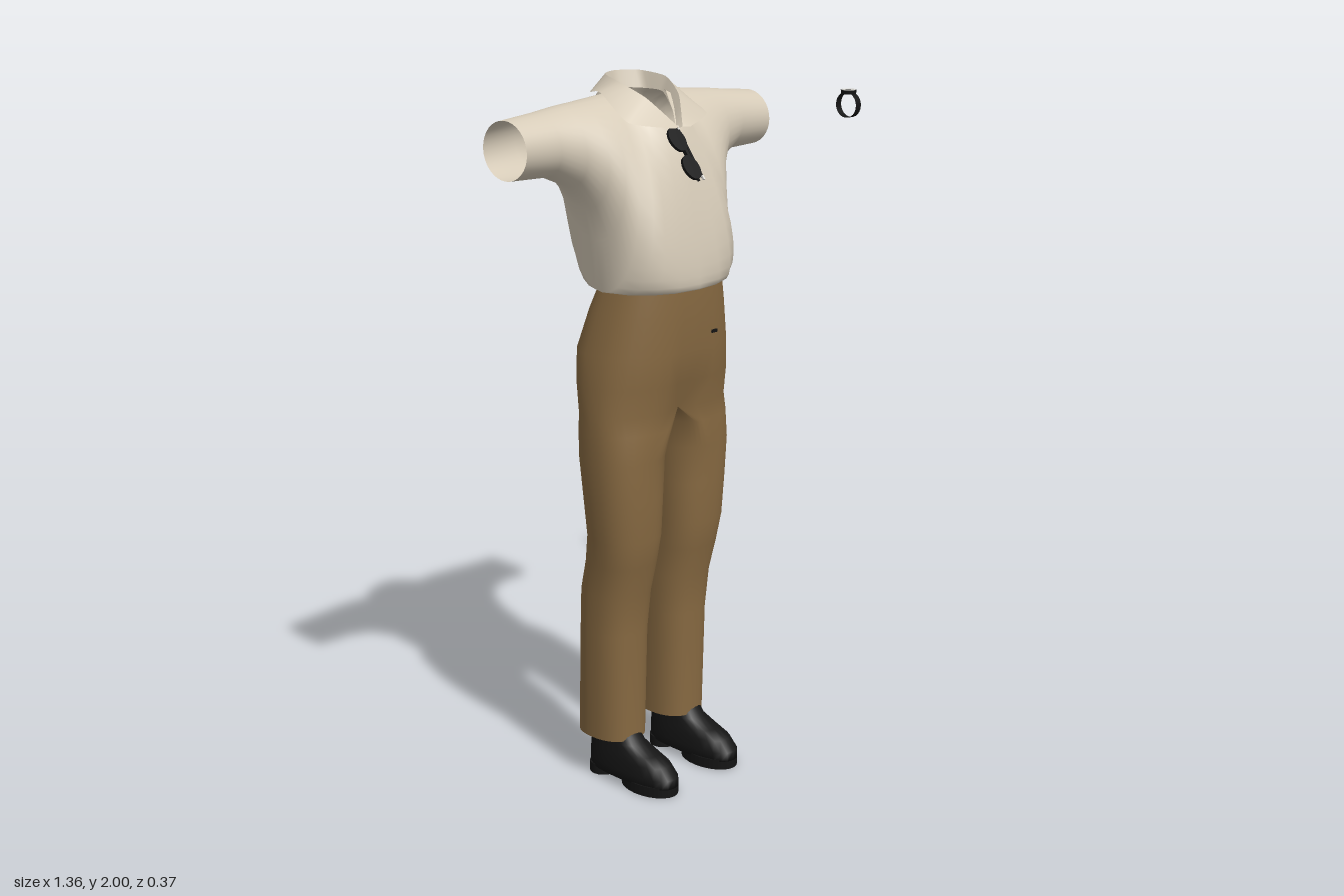
import * as THREE from 'three';
import { mergeGeometries, mergeVertices } from 'three/addons/utils/BufferGeometryUtils.js';

const mat = (name, color) => {
  const m = new THREE.MeshStandardMaterial({ color, side: THREE.DoubleSide });
  m.name = name;
  return m;
};
const cream = mat('creamCloth', 0xd6cbb8);
const brown = mat('brownCloth', 0x886a42);
const black = mat('blackLeather', 0x141414);
const silver = mat('paleMetal', 0xe4e2dc);

// Surface through rows of points; outside faces out when rows run down and columns front -> +x -> back
function grid(rows) {
  const n = rows[0].length, idx = [];
  for (let i = 0; i < rows.length - 1; i++)
    for (let j = 0; j < n - 1; j++) {
      const a = i * n + j, c = a + n;
      idx.push(a, c, a + 1, a + 1, c, c + 1);
    }
  const g = new THREE.BufferGeometry();
  g.setAttribute('position', new THREE.Float32BufferAttribute(rows.flat(2), 3));
  g.setIndex(idx);
  return g;
}

function mirrored(g) {
  const m = g.clone().scale(-1, 1, 1);
  m.setIndex([...g.index.array].reverse());
  return m;
}

// Sew surfaces together and smooth across the seams
function sew(list) {
  const g = mergeVertices(mergeGeometries(list), 1e-4);
  g.computeVertexNormals();
  return g;
}

function add(parent, name, geo, material, x = 0, y = 0, z = 0) {
  const m = new THREE.Mesh(geo, material);
  m.name = name;
  m.position.set(x, y, z);
  parent.add(m);
  return m;
}

const pw = (v, p) => Math.sign(v) * Math.pow(Math.abs(v), p);

// Shirt columns from the centre to the cuff: upper point, lower point, bulge
const frontCols = [
  [[0, 1.86, 0.085], [0, 1.44, 0.165], 0.022],
  [[0.035, 1.90, 0.04], [0.08, 1.44, 0.155], 0.045],
  [[0.07, 1.95, -0.02], [0.14, 1.44, 0.125], 0.08],
  [[0.085, 1.955, -0.075], [0.18, 1.44, 0.075], 0.125],
  [[0.13, 1.95, -0.075], [0.2, 1.44, 0], 0.145],
  [[0.17, 1.945, -0.075], [0.21, 1.58, -0.01], 0.125],
  [[0.22, 1.94, -0.075], [0.23, 1.665, -0.03], 0.11],
  [[0.28, 1.935, -0.075], [0.27, 1.725, -0.05], 0.092],
  [[0.36, 1.925, -0.075], [0.34, 1.757, -0.07], 0.086],
  [[0.465, 1.915, -0.075], [0.465, 1.76, -0.075], 0.083],
];
const backEdges = [[1.975, -0.14, -0.12], [1.975, -0.13, -0.112], [1.965, -0.11, -0.09], [1.955, -0.075, -0.05]];
const backBulge = [0.055, 0.062, 0.08, 0.115, 0.135, 0.13, 0.12, 0.105, 0.09, 0.083];
const backCols = frontCols.map(([u, l], i) => {
  const e = backEdges[i];
  return e ? [[u[0], e[0], e[1]], [l[0], l[1], e[2]], backBulge[i]] : [u, l, backBulge[i]];
});

function shirtPanel(cols, side) {
  const n = 16;
  const full = [...cols.slice().reverse().map(c => [1, c]), ...cols.slice(1).map(c => [-1, c])];
  return grid(full.map(([sx, [u, l, bulge]]) => {
    const col = [];
    for (let k = 0; k <= n; k++) {
      const t = Math.PI * k / n, v = (1 - Math.cos(t)) / 2;
      const p = u.map((a, q) => a + (l[q] - a) * v);
      col.push([p[0] * sx, p[1], p[2] + side * bulge * Math.sin(t)]);
    }
    return side > 0 ? col : col.reverse();
  }));
}

// Collar line: half a set of points from the front to the nape, mirrored
function collarLine(half) {
  const pts = [...half, ...half.slice(0, -1).reverse().map(([x, y, z]) => [-x, y, z])];
  const curve = new THREE.CatmullRomCurve3(pts.map(p => new THREE.Vector3(...p)), false, 'catmullrom', 0.3);
  return curve.getPoints(40).map(p => p.toArray());
}

function buildShirt(g) {
  add(g, 'shirtBody', sew([shirtPanel(frontCols, 1), shirtPanel(backCols, -1)]), cream);
  const top = collarLine([[0.008, 1.87, 0.1], [0.062, 1.945, 0.035], [0.09, 1.985, -0.04], [0.066, 1.998, -0.115], [0, 2, -0.145]]);
  const fall = collarLine([[0.03, 1.868, 0.108], [0.15, 1.89, 0.055], [0.128, 1.957, -0.07], [0.09, 1.948, -0.15], [0, 1.945, -0.178]]);
  const root = collarLine([[0, 1.86, 0.086], [0.04, 1.9, 0.036], [0.078, 1.945, -0.04], [0.068, 1.95, -0.1], [0, 1.955, -0.135]]);
  add(g, 'collarFall', sew([grid([top, fall])]), cream);
  add(g, 'collarStand', sew([grid([root, top])]), cream);
}

// Trouser rows: y, outer x, seam x, inner x, front z, back z, centre groove
const legRows = [
  [1.45, 0.185, 0, 0, 0.155, -0.105, 0],
  [1.38, 0.203, 0, 0, 0.155, -0.135, 0],
  [1.27, 0.228, 0, 0, 0.15, -0.17, 0.03],
  [1.18, 0.238, 0, 0, 0.14, -0.162, 0.1],
  [1.10, 0.242, 0, 0, 0.12, -0.142, 0.28],
  [1.05, 0.242, 0.07, 0.012, 0.114, -0.132, 0],
  [0.97, 0.242, 0.12, 0.017, 0.106, -0.118, 0],
  [0.86, 0.235, 0.12, 0.022, 0.1, -0.108, 0],
  [0.74, 0.225, 0.12, 0.026, 0.093, -0.1, 0],
  [0.66, 0.216, 0.12, 0.03, 0.078, -0.115, 0],
  [0.57, 0.21, 0.12, 0.031, 0.055, -0.14, 0],
  [0.45, 0.207, 0.12, 0.034, 0.04, -0.147, 0],
  [0.13, 0.2, 0.12, 0.04, 0.032, -0.165, 0],
];

function trouserArc(rows, inner) {
  const n = 20, s = inner ? -1 : 1;
  return grid(rows.map(([y, xo, xs, xi, zf, zb, groove]) => {
    const row = [], p = 0.85;
    for (let k = 0; k <= n; k++) {
      const t = Math.PI * k / n;
      const sn = k === n ? 0 : Math.sin(t);
      const x = xs + ((inner ? xi : xo) - xs) * pw(sn, p);
      const z = (zf + zb) / 2 + s * (zf - zb) / 2 * pw(Math.cos(t), p);
      row.push([x, y, z * (1 - groove * Math.exp(-((x / 0.05) ** 2)))]);
    }
    return row;
  }));
}

function buildTrousers(g) {
  const half = [trouserArc(legRows, false), trouserArc(legRows.slice(4), true)];
  add(g, 'trousers', sew([...half, ...half.map(mirrored)]), brown);
  add(g, 'pocketButton', new THREE.BoxGeometry(0.02, 0.008, 0.008), black, 0.08, 1.31, 0.147);
}

// Shoe rings: y, half width, toe z, heel z
const shoeRows = [
  [0.2, 0.043, 0.01, -0.115], [0.16, 0.045, 0.02, -0.12], [0.12, 0.048, 0.055, -0.125],
  [0.098, 0.052, 0.11, -0.13], [0.08, 0.057, 0.155, -0.132], [0.05, 0.061, 0.183, -0.133],
  [0.025, 0.061, 0.185, -0.133], [0.025, 0, 0.03, 0.03],
];

function buildShoe(g, sx) {
  const shoe = new THREE.Group();
  shoe.name = sx > 0 ? 'leftShoe' : 'rightShoe';
  shoe.position.x = sx * 0.125;
  const rings = shoeRows.map(([y, w, zf, zb]) => Array.from({ length: 25 }, (_, k) => {
    const t = Math.PI * 2 * (k % 24) / 24;
    return [w * pw(Math.sin(t), 0.8), y, (zf + zb) / 2 + (zf - zb) / 2 * pw(Math.cos(t), 0.8)];
  }));
  add(shoe, 'shoeUpper', sew([grid(rings)]), black);
  add(shoe, 'shoeSole', new THREE.CylinderGeometry(1, 1, 0.03, 24).scale(0.061, 1, 0.096), black, 0, 0.015, 0.088);
  add(shoe, 'shoeHeel', new THREE.CylinderGeometry(1, 1, 0.03, 20).scale(0.05, 1, 0.044), black, 0, 0.015, -0.089);
  g.add(shoe);
}

// Folded glasses hanging from the neckline
function buildGlasses(g) {
  const glasses = new THREE.Group();
  glasses.name = 'hangingGlasses';
  glasses.position.set(-0.026, 1.805, 0.137);
  glasses.rotation.x = -0.64;
  for (const s of [-1, 1]) {
    add(glasses, 'lens', new THREE.CylinderGeometry(1, 1, 0.008, 20).rotateX(Math.PI / 2).scale(0.028, 0.036, 1), black, 0, s * 0.043, 0);
    add(glasses, 'hinge', new THREE.BoxGeometry(0.006, 0.012, 0.006), silver, 0.024, s * 0.076, 0);
    add(glasses, 'temple', new THREE.BoxGeometry(0.006, 0.15, 0.005), black, 0.027, 0, -0.008 * (1.5 + s));
  }
  add(glasses, 'bridge', new THREE.BoxGeometry(0.01, 0.03, 0.006), black, 0.012, 0, 0);
  g.add(glasses);
}

// Separate wristwatch, strap ring turned along x
function buildWatch(g) {
  const watch = new THREE.Group();
  watch.name = 'wristwatch';
  watch.position.set(0.653, 1.838, -0.024);
  add(watch, 'strap', new THREE.CylinderGeometry(0.038, 0.038, 0.024, 24, 1, true).rotateZ(Math.PI / 2), black);
  add(watch, 'watchCase', new THREE.CylinderGeometry(0.024, 0.022, 0.012, 20), black, 0, 0.038, 0);
  add(watch, 'bezel', new THREE.TorusGeometry(0.018, 0.0025, 6, 20).rotateX(Math.PI / 2), silver, 0, 0.044, 0);
  add(watch, 'crown', new THREE.CylinderGeometry(0.003, 0.003, 0.006, 8).rotateZ(Math.PI / 2), silver, 0.025, 0.038, 0);
  g.add(watch);
}

export function createModel() {
  const model = new THREE.Group();
  model.name = 'outfit';
  const clothes = new THREE.Group();
  clothes.name = 'clothes';
  clothes.position.x = -0.21;
  buildShirt(clothes);
  buildTrousers(clothes);
  for (const s of [-1, 1]) buildShoe(clothes, s);
  buildGlasses(clothes);
  model.add(clothes);
  buildWatch(model);
  return model;
}
